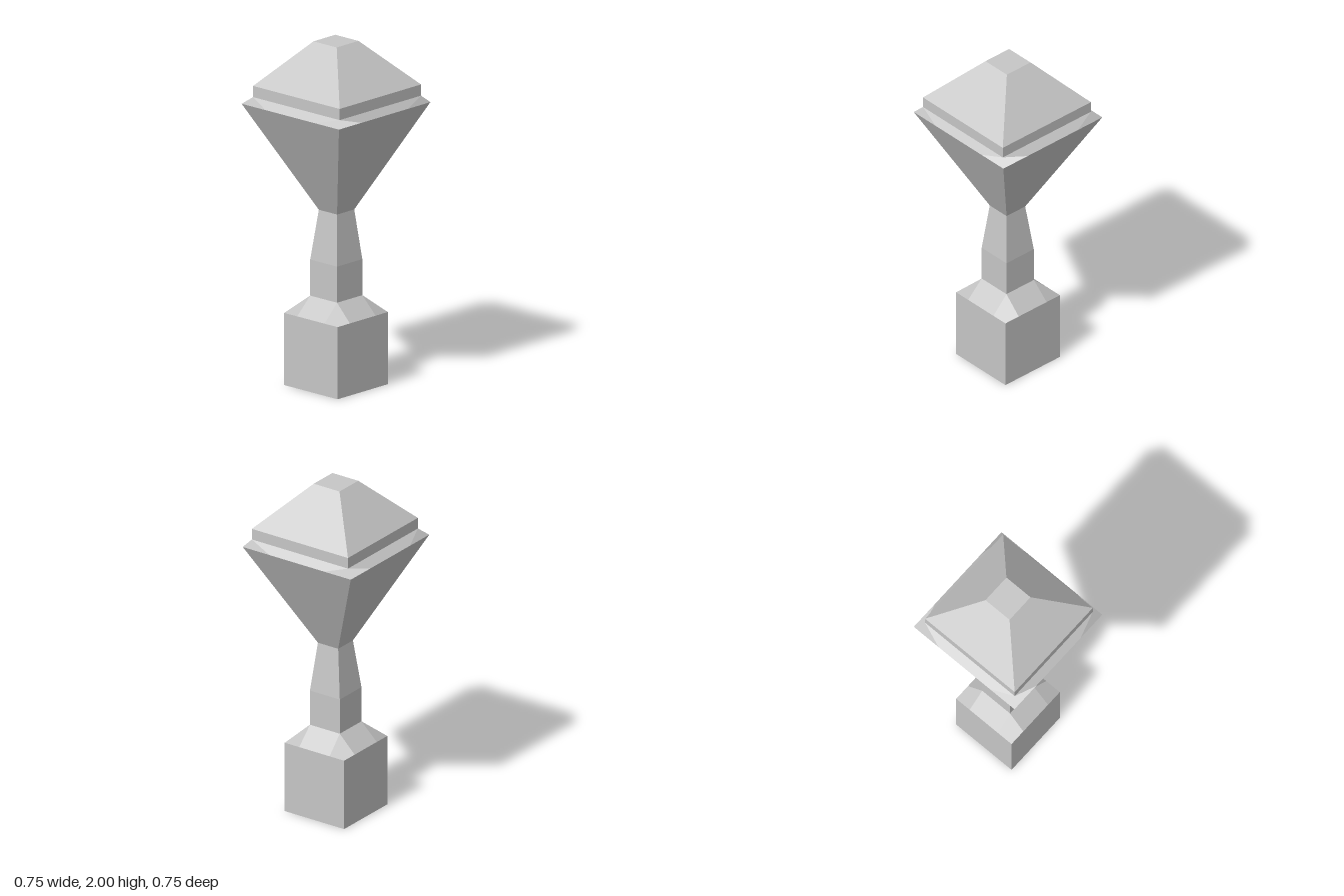
import * as THREE from 'three';

// Square cross-section: height, half width, x offset of the centre
const ring = (y, half, cx = 0) => ({ y, half, cx });

// Corner k of a ring, counter-clockwise seen from above, starting at front left
const SIGNS = [[-1, 1], [1, 1], [1, -1], [-1, -1]];
const corner = (r, k) => {
  const [sx, sz] = SIGNS[k % 4];
  return new THREE.Vector3(r.cx + sx * r.half, r.y, sz * r.half);
};

// Flat quads a-b-c-d; each is shaded with one normal, across its diagonals
function quadMesh(name, quads, material) {
  const positions = [], normals = [];
  for (const [a, b, c, d] of quads) {
    const n = c.clone().sub(a).cross(d.clone().sub(b)).normalize();
    for (const p of [a, b, c, a, c, d]) {
      positions.push(p.x, p.y, p.z);
      normals.push(n.x, n.y, n.z);
    }
  }
  const geometry = new THREE.BufferGeometry();
  geometry.setAttribute('position', new THREE.Float32BufferAttribute(positions, 3));
  geometry.setAttribute('normal', new THREE.Float32BufferAttribute(normals, 3));
  const mesh = new THREE.Mesh(geometry, material);
  mesh.name = name;
  return mesh;
}

// Four plain walls between two rings
function walls(low, high) {
  return SIGNS.map((_, k) => [corner(low, k), corner(low, k + 1), corner(high, k + 1), corner(high, k)]);
}

// Sloped ledge: a central facet per side, with a folded facet at each corner
function ledge(low, high, inner) {
  const quads = [];
  const t = (1 - inner / low.half) / 2;
  for (let k = 0; k < 4; k++) {
    const a = corner(low, k), b = corner(low, k + 1), c = corner(low, k + 2);
    const a1 = a.clone().lerp(b, t), b0 = a.clone().lerp(b, 1 - t), b1 = b.clone().lerp(c, t);
    quads.push([a1, b0, corner(high, k + 1), corner(high, k)]);
    quads.push([corner(high, k + 1), b0, b, b1]);
  }
  return quads;
}

export function createModel() {
  const stone = new THREE.MeshStandardMaterial({ color: 0xc6c6c6 });
  stone.name = 'grey stone';

  const foot = ring(0, 0.205);
  const footTop = ring(0.42, 0.205);
  const shaftBase = ring(0.52, 0.103, 0.002);
  const shaftMid = ring(0.73, 0.103, 0.002);
  const neck = ring(1.02, 0.07, 0.004);
  const rim = ring(1.64, 0.373);
  const bandBase = ring(1.68, 0.332, 0.008);
  const bandTop = ring(1.745, 0.332, 0.008);
  const tip = ring(2, 0.089);

  const bottom = [3, 2, 1, 0].map((k) => corner(foot, k));
  const top = [0, 1, 2, 3].map((k) => corner(tip, k));

  const parts = {
    base: [...walls(foot, footTop), bottom],
    baseShoulder: ledge(footTop, shaftBase, 0.105),
    shaft: walls(shaftBase, shaftMid),
    taperedNeck: walls(shaftMid, neck),
    flaredHead: walls(neck, rim),
    headRim: ledge(rim, bandBase, 0.19),
    capBand: walls(bandBase, bandTop),
    capRoof: [...walls(bandTop, tip), top],
  };

  const group = new THREE.Group();
  group.name = 'squarePost';
  for (const [name, quads] of Object.entries(parts)) group.add(quadMesh(name, quads, stone));
  return group;
}
